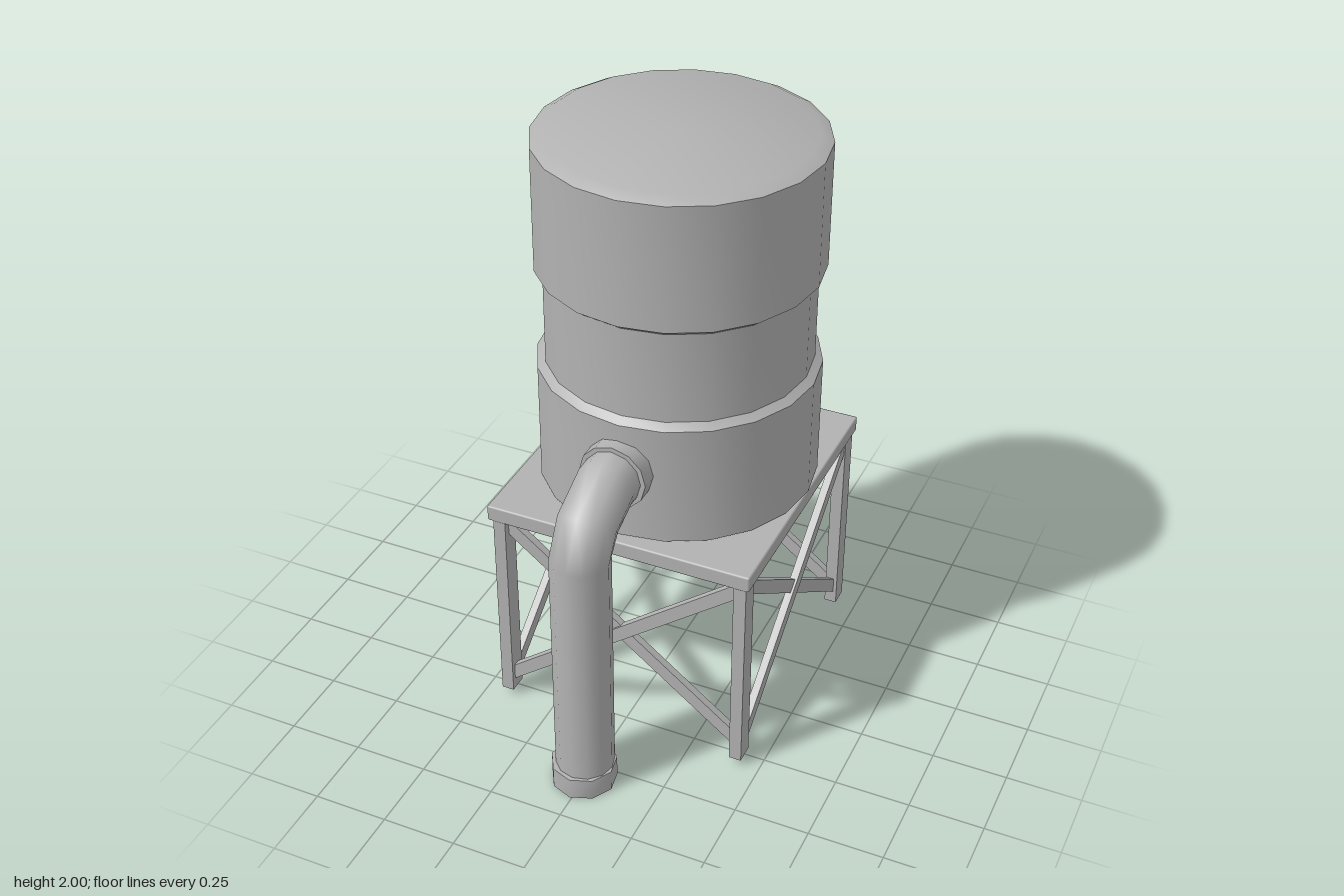
import * as THREE from 'three';
import { toCreasedNormals } from 'three/addons/utils/BufferGeometryUtils.js';
import { RoundedBoxGeometry } from 'three/addons/geometries/RoundedBoxGeometry.js';

const CZ = -0.172; // centre of tank and stand in z

export function createModel() {
  const group = new THREE.Group();
  group.name = 'waterTower';
  const metal = new THREE.MeshStandardMaterial({ color: 0xb2b2b2 });
  metal.name = 'grey metal';

  const add = (name, geometry, x, y, z, parent = group) => {
    const mesh = new THREE.Mesh(geometry, metal);
    mesh.name = name;
    mesh.position.set(x, y, z);
    parent.add(mesh);
    return mesh;
  };

  // Tank: two wide bands around a narrower waist, bevelled rims
  const profile = [
    [0, 0.79], [0.44, 0.79], [0.458, 0.803], [0.458, 1.215], [0.432, 1.235],
    [0.432, 1.545], [0.458, 1.565], [0.458, 1.98], [0.42, 2], [0, 2],
  ].map(([r, y]) => new THREE.Vector2(r, y));
  add('tank', toCreasedNormals(new THREE.LatheGeometry(profile, 20), 0.5), 0, 0, CZ);

  // Platform
  add('platform', new RoundedBoxGeometry(0.91, 0.056, 0.975, 1, 0.006), -0.004, 0.763, CZ - 0.002);

  // Four legs
  for (const sx of [-1, 1]) {
    for (const sz of [-1, 1]) {
      add('leg', new THREE.BoxGeometry(0.042, 0.72, 0.066), sx * 0.419, 0.385, CZ + sz * 0.448);
    }
  }

  // Crossed braces on every side of the stand
  const addCross = (name, span, x, z, turn) => {
    const cross = new THREE.Group();
    cross.name = name;
    cross.position.set(x, 0.4, z);
    cross.rotation.y = turn;
    group.add(cross);
    const rise = 0.63;
    for (const s of [-1, 1]) {
      const bar = add('brace', new THREE.BoxGeometry(Math.hypot(span, rise), 0.046, 0.026), 0, 0, s * 0.004, cross);
      bar.rotation.z = s * Math.atan2(rise, span);
    }
  };
  for (const s of [-1, 1]) {
    addCross('frontBackCross', 0.82, 0, CZ + s * 0.448, 0);
    addCross('sideCross', 0.87, s * 0.419, CZ, Math.PI / 2);
  }

  // Drain pipe: rings of [z, y, tilt] along a bend into the tank
  const rings = [
    [0.557, 0.02, 0], [0.557, 0.9, 0], [0.5, 0.99, 0.72], [0.378, 1.045, 1.4],
    [0.32, 1.047, Math.PI / 2], [0.25, 1.047, Math.PI / 2],
  ];
  const sides = 12, radius = 0.096, positions = [], index = [];
  rings.forEach(([z, y, t], i) => {
    for (let j = 0; j < sides; j++) {
      const a = (j / sides) * Math.PI * 2;
      const out = radius * Math.cos(a);
      positions.push(radius * Math.sin(a), y + out * Math.sin(t), z + out * Math.cos(t));
      if (i < rings.length - 1) {
        const k = (j + 1) % sides;
        const p = i * sides + j, q = i * sides + k;
        index.push(p, q, p + sides, q, q + sides, p + sides);
      }
    }
  });
  const pipe = new THREE.BufferGeometry();
  pipe.setAttribute('position', new THREE.Float32BufferAttribute(positions, 3));
  pipe.setIndex(index);
  pipe.computeVertexNormals();
  add('pipe', pipe, -0.003, 0, 0);

  // Collars at the foot of the pipe and at the tank wall
  const collar = (r, h, n) => toCreasedNormals(new THREE.CylinderGeometry(r, r, h, n), 0.9);
  add('footCollar', collar(0.108, 0.076, 9), -0.007, 0.038, 0.56);
  add('tankCollar', collar(0.112, 0.08, 12), -0.003, 1.046, 0.288).rotation.x = Math.PI / 2;

  return group;
}
